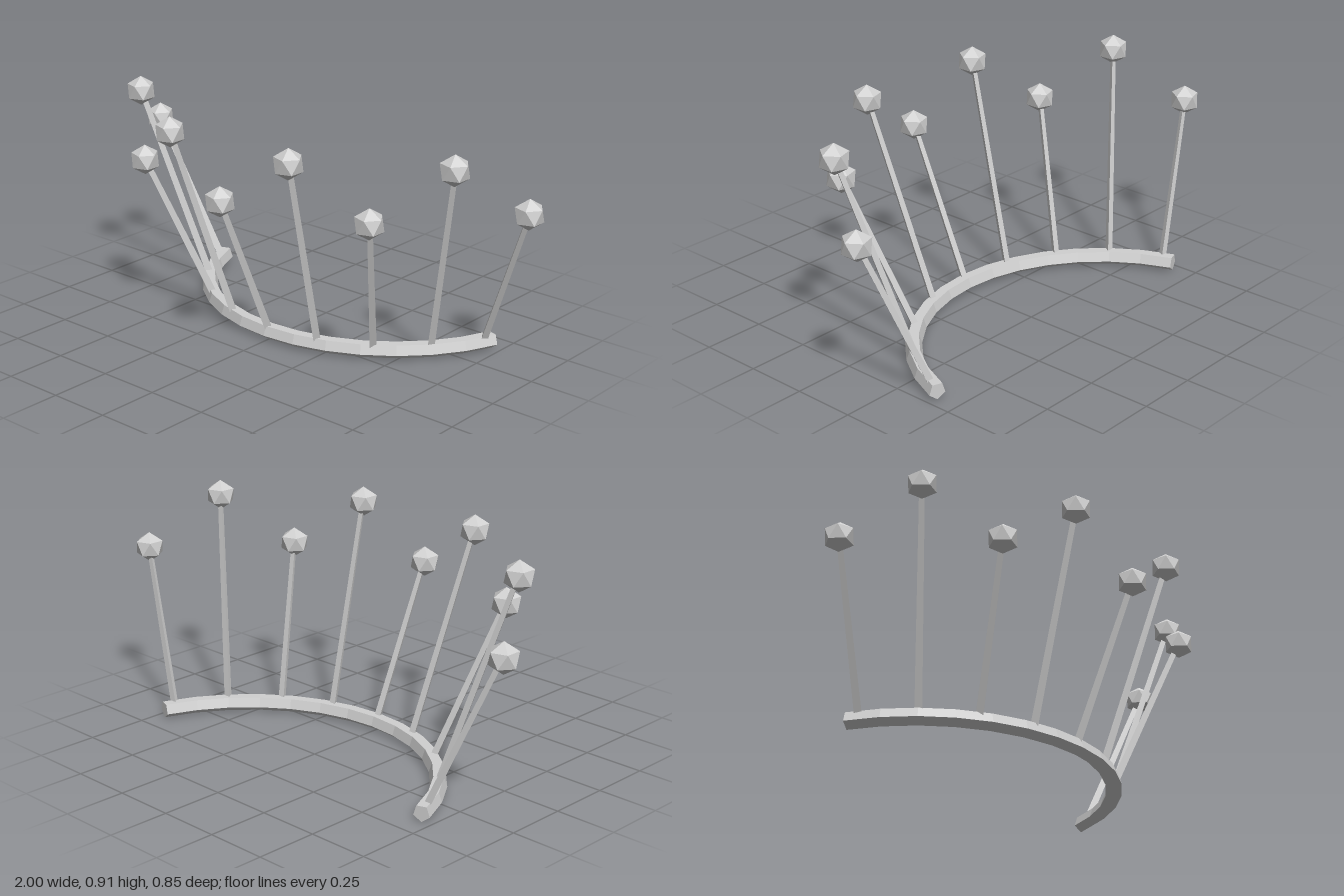
import * as THREE from 'three';

const ARC_RADIUS = 0.747;    // radius of the band's centre line
const ARC_Z = -0.647;        // z of the arc's centre
const HALF_ANGLE = 1.25;     // half the angle swept by the band
const BAND_THICKNESS = 0.034;
const STEP = THREE.MathUtils.degToRad(17);

// Point on a circle around the arc's centre; angle 0 faces the front
const onArc = (angle, radius, y) =>
  new THREE.Vector3(Math.sin(angle) * radius, y, ARC_Z + Math.cos(angle) * radius);

class BandCurve extends THREE.Curve {
  getPoint(t, target = new THREE.Vector3()) {
    const a = (t * 2 - 1) * HALF_ANGLE;
    return target.set(Math.sin(a) * ARC_RADIUS, Math.cos(a) * ARC_RADIUS, 0);
  }
}

export function createModel() {
  const model = new THREE.Group();
  model.name = 'crown';
  const metal = new THREE.MeshStandardMaterial({ color: 0xd0d0d0 });
  metal.name = 'light grey metal';
  metal.flatShading = true;

  const add = (name, geometry, parent = model) => {
    const mesh = new THREE.Mesh(geometry, metal);
    mesh.name = name;
    parent.add(mesh);
    return mesh;
  };

  // Five-sided curved band, laid flat with one edge pointing down
  const bandGeometry = new THREE.TubeGeometry(new BandCurve(), 14, BAND_THICKNESS, 5, false);
  bandGeometry.rotateX(Math.PI / 2);
  add('band', bandGeometry).position.set(0, BAND_THICKNESS, ARC_Z);

  // Closed ends of the band
  for (const side of [-1, 1]) {
    const cap = new THREE.CircleGeometry(BAND_THICKNESS, 5);
    cap.rotateZ(-Math.PI / 2).rotateY(side * (Math.PI / 2 + HALF_ANGLE));
    add(side > 0 ? 'leftBandEnd' : 'rightBandEnd', cap)
      .position.copy(onArc(side * HALF_ANGLE, ARC_RADIUS, BAND_THICKNESS));
  }

  // Bead with a corner pointing straight up
  const beadGeometry = new THREE.IcosahedronGeometry(0.0615, 0);
  beadGeometry.rotateZ(-Math.atan(2 / (1 + Math.sqrt(5))));

  // Nine outward-leaning spikes, alternately short and tall
  const up = new THREE.Vector3(0, 1, 0);
  for (let i = -4; i <= 4; i++) {
    const spike = new THREE.Group();
    spike.name = 'spike';
    model.add(spike);

    const base = onArc(i * STEP, ARC_RADIUS, BAND_THICKNESS);
    const tip = onArc(i * STEP, 1.02, i % 2 === 0 ? 0.646 : 0.846);
    const direction = tip.clone().sub(base);

    // Three-sided tapering stem with an edge towards the front
    const stem = add('stem', new THREE.CylinderGeometry(0.0125, 0.017, direction.length(), 3), spike);
    stem.position.copy(base).add(tip).multiplyScalar(0.5);
    stem.quaternion.setFromUnitVectors(up, direction.normalize());

    add('bead', beadGeometry, spike).position.copy(tip);
  }
  return model;
}
